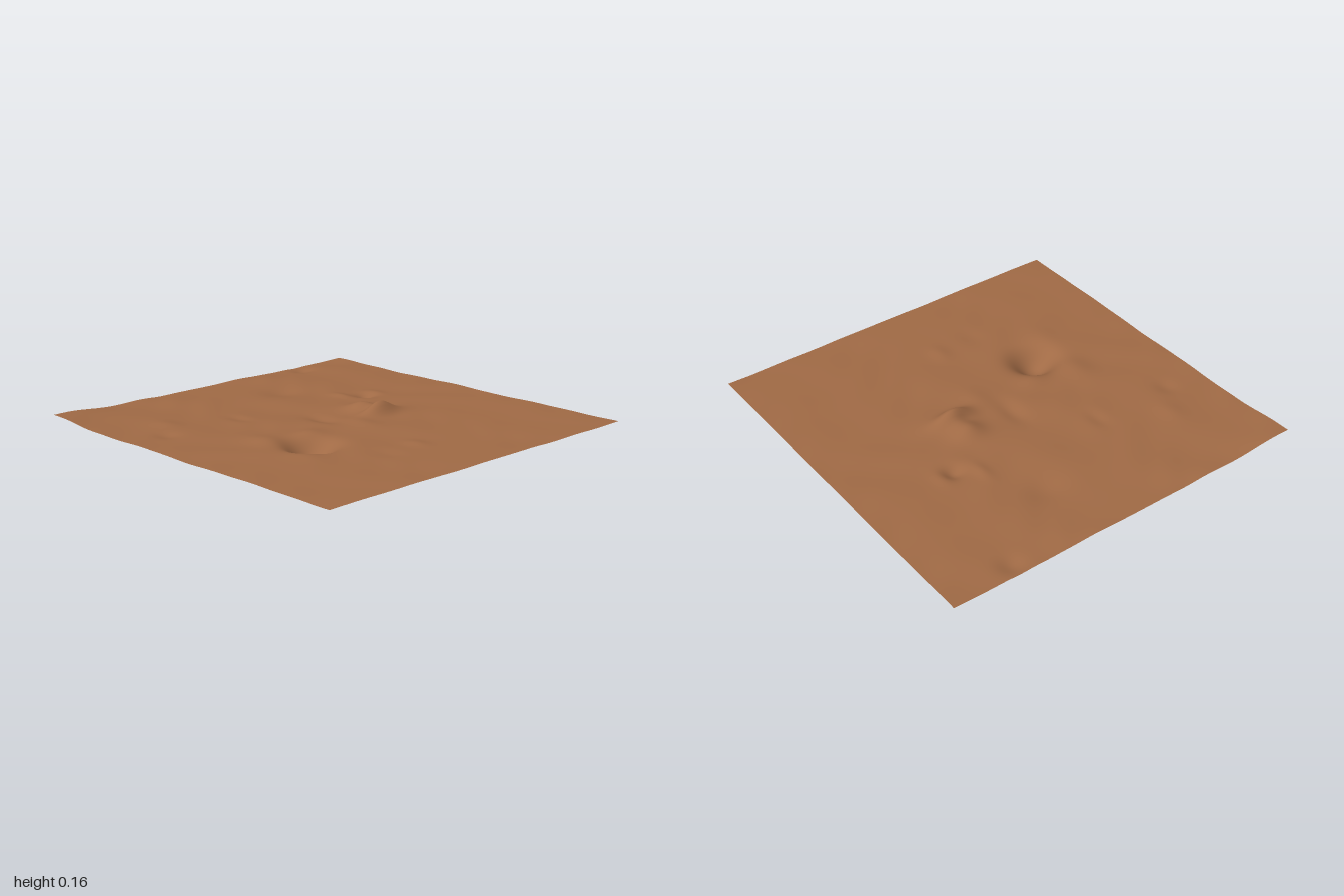
import * as THREE from 'three';

const BASE = 0.097;

// Landforms: [x, z, radiusX, radiusZ, height, sharpness]
const LANDFORMS = [
  [0.237, 0.385, 0.105, 0.105, -0.096, 2.3], // large pit
  [0.065, -0.25, 0.052, 0.105, 0.062, 2],    // main ridge
  [-0.06, -0.25, 0.075, 0.075, 0.033, 2],    // side hump
  [0.02, -0.215, 0.03, 0.05, -0.012, 2],     // cleft between the ridges
  [0.0, -0.28, 0.16, 0.16, 0.006, 2],        // raised ground under the ridges
  [-0.26, -0.48, 0.05, 0.05, -0.026, 2],     // hollow behind the ridge
  [-0.27, -0.55, 0.06, 0.04, 0.008, 2],
  [-0.33, -0.37, 0.07, 0.035, 0.01, 2],
  [0.05, 0.51, 0.1, 0.08, 0.015, 2],         // pit rim
  [0.09, 0.27, 0.07, 0.09, 0.014, 2],
  [0.37, 0.55, 0.1, 0.07, 0.006, 2],
  [-0.05, 0.03, 0.1, 0.05, -0.014, 2],
  [0.12, -0.06, 0.1, 0.06, 0.008, 2],
  [-0.62, -0.2, 0.09, 0.1, -0.012, 2],
  [-0.93, -0.64, 0.06, 0.06, -0.018, 2],     // edge hollow
  [-1.0, 1.0, 0.2, 0.22, 0.022, 2],          // raised corner
  [-0.35, 0.33, 0.07, 0.04, -0.009, 2],
  [-0.36, 0.78, 0.06, 0.05, -0.01, 2],
  [-0.52, 0.66, 0.08, 0.06, 0.008, 2],
  [0.57, 0.02, 0.07, 0.05, 0.009, 2],
  [0.6, 0.24, 0.08, 0.06, -0.006, 2],
];

// Gentle undulation over the whole sheet
function ripple(x, z) {
  return 0.0018 * Math.sin(9 * x + 5 * z + 2 * Math.sin(4 * z))
    + 0.0014 * Math.sin(7 * x + 17 * z + 1.7 * Math.sin(6 * x))
    + 0.0008 * Math.sin(23 * x - 11 * z + 2 * Math.sin(9 * z));
}

function heightAt(x, z) {
  let y = BASE + ripple(x, z) * (1 - 0.35 * x);
  for (const [cx, cz, rx, rz, h, sharp] of LANDFORMS) {
    const d = Math.hypot((x - cx) / rx, (z - cz) / rz);
    y += h * Math.exp(-Math.pow(d, sharp));
  }
  return Math.max(0, y);
}

export function createModel() {
  const soil = new THREE.MeshStandardMaterial({ color: 0xa06a45, side: THREE.DoubleSide });
  soil.name = 'brown soil';

  // Flat grid lifted by the height rule
  const geometry = new THREE.PlaneGeometry(2, 2, 128, 128).rotateX(-Math.PI / 2);
  const pos = geometry.attributes.position;
  for (let i = 0; i < pos.count; i++) {
    pos.setY(i, heightAt(pos.getX(i), pos.getZ(i)));
  }
  geometry.computeVertexNormals();

  const ground = new THREE.Mesh(geometry, soil);
  ground.name = 'terrain';

  const model = new THREE.Group();
  model.name = 'terrainPatch';
  model.add(ground);
  return model;
}
